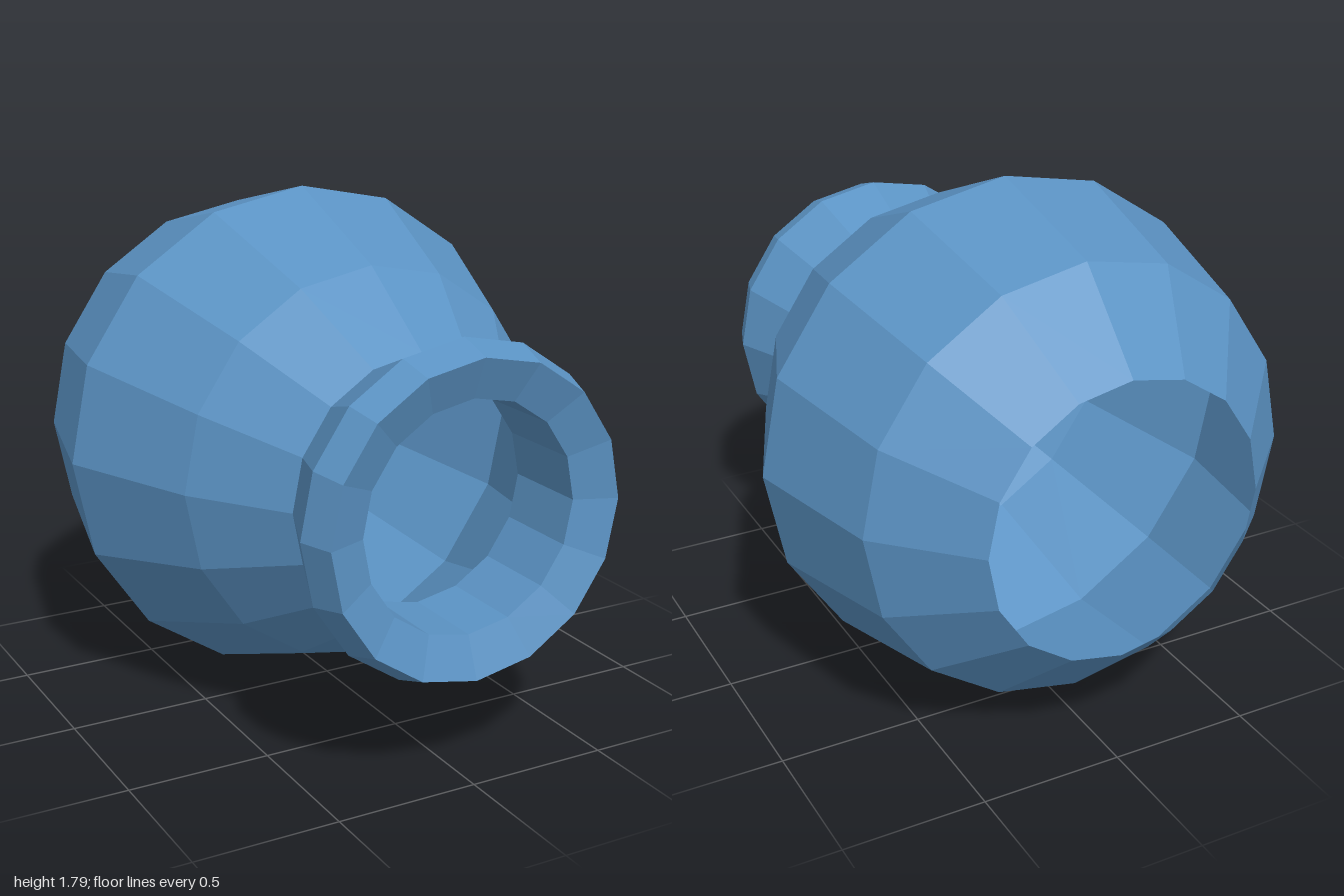
import * as THREE from 'three';

const SIDES = 16;
const AXIS_HEIGHT = 0.897;

// Faceted surface of revolution around the z axis; profile points are [radius, z]
function turned(name, profile, material) {
  const points = profile.map(([r, z]) => new THREE.Vector2(r, z));
  const geometry = new THREE.LatheGeometry(points, SIDES);
  geometry.rotateX(Math.PI / 2);
  const mesh = new THREE.Mesh(geometry, material);
  mesh.name = name;
  mesh.position.y = AXIS_HEIGHT;
  return mesh;
}

export function createModel() {
  const group = new THREE.Group();
  group.name = 'vessel';
  const blue = new THREE.MeshStandardMaterial({
    color: 0x5b93c4, flatShading: true, side: THREE.DoubleSide,
  });
  blue.name = 'blue';

  // Thin hollow belly, open at the back
  group.add(turned('belly', [
    [0.49, -1], [0.775, -0.715], [0.897, -0.185], [0.695, 0.31], [0.468, 0.635],
  ], blue));

  // Flared collar in front of the neck
  group.add(turned('collar', [[0.468, 0.635], [0.57, 0.88], [0.53, 1]], blue));

  // Sloped lip and the tube inside the neck
  group.add(turned('mouth', [
    [0.53, 1], [0.39, 0.945], [0.39, 0.635], [0.468, 0.635],
  ], blue));

  // Small tab under the belly
  const tab = new THREE.Mesh(new THREE.BoxGeometry(0.07, 0.02, 0.045), blue);
  tab.name = 'tab';
  tab.position.set(0, 0.193, 0.268);
  group.add(tab);

  return group;
}
